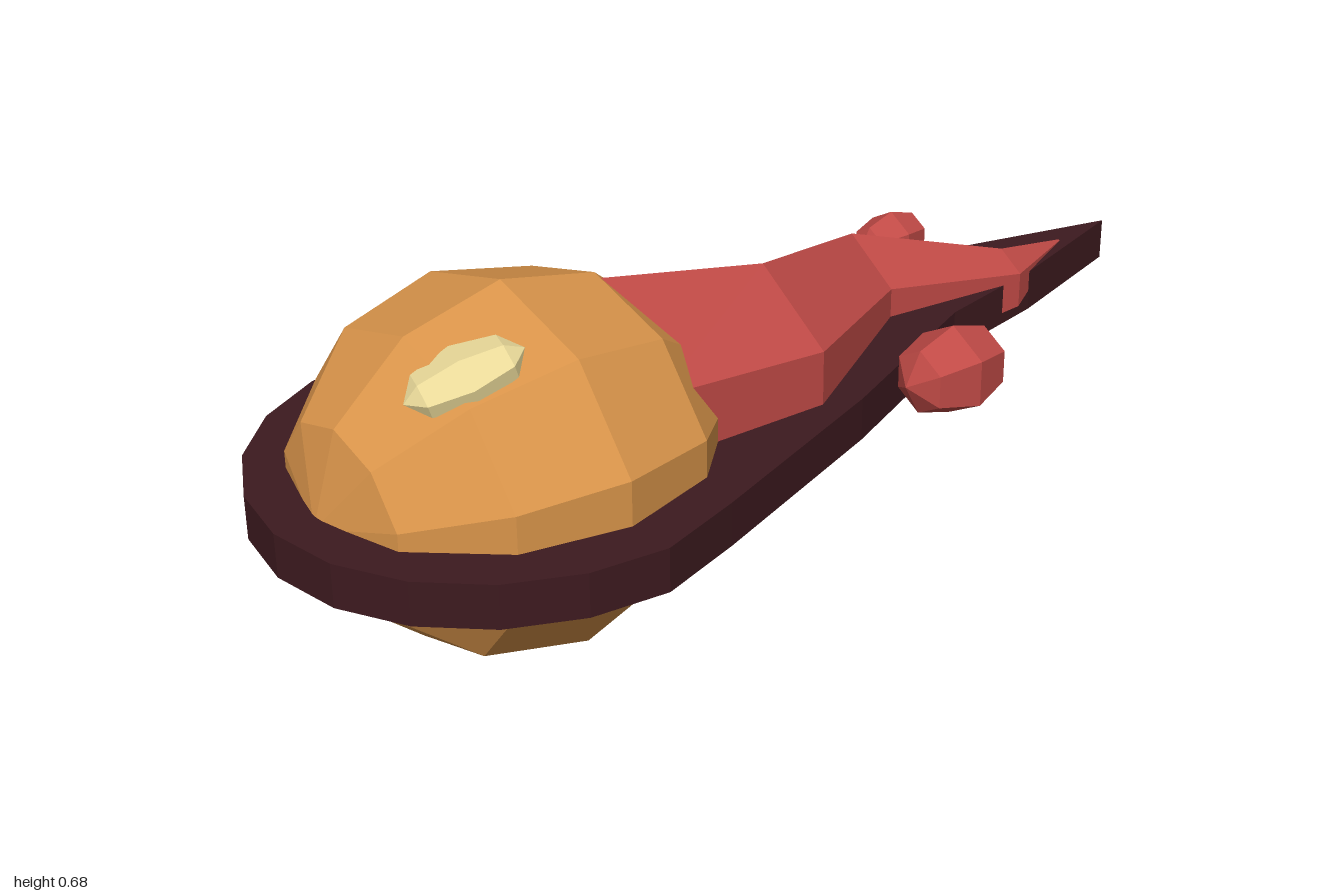
import * as THREE from 'three';

const mat = (color) => new THREE.MeshStandardMaterial({ color, flatShading: true });

// Low-poly ellipsoid with its poles along z and a vertex row on top
function ellipsoid(name, material, sides, rows, radii, position) {
  const geo = new THREE.SphereGeometry(1, sides, rows, Math.PI / 2);
  geo.rotateX(Math.PI / 2);
  geo.scale(...radii);
  const mesh = new THREE.Mesh(geo, material);
  mesh.name = name;
  mesh.position.set(...position);
  return mesh;
}

// Skin over six-sided rings running from front to back: [x, y, z, rx, ry]
function loft(rings, sides = 6) {
  const pos = [], index = [];
  for (const [x, y, z, rx, ry] of rings) {
    for (let i = 0; i < sides; i++) {
      const a = (i / sides) * Math.PI * 2;
      pos.push(x + Math.sin(a) * rx, y + Math.cos(a) * ry, z);
    }
  }
  for (let r = 0; r < rings.length - 1; r++) {
    for (let i = 0; i < sides; i++) {
      const j = (i + 1) % sides;
      const a = r * sides + i, b = r * sides + j;
      index.push(a, b, a + sides, b, b + sides, a + sides);
    }
  }
  // End caps
  const last = (rings.length - 1) * sides;
  for (let i = 1; i < sides - 1; i++) {
    index.push(0, i + 1, i, last, last + i, last + i + 1);
  }
  const geo = new THREE.BufferGeometry();
  geo.setAttribute('position', new THREE.Float32BufferAttribute(pos, 3));
  geo.setIndex(index);
  const flat = geo.toNonIndexed();
  flat.computeVertexNormals();
  return flat;
}

export function createModel() {
  const group = new THREE.Group();
  const orange = mat(0xd9944a), red = mat(0xc04a46);
  const dark = mat(0x3d1a1f), cream = mat(0xe8d898);

  // Teardrop plate: rounded front, tapering to a point at the back
  const outline = [];
  for (let i = 0; i <= 10; i++) {
    const a = Math.PI + (i / 10) * Math.PI;
    outline.push(new THREE.Vector2(Math.cos(a) * 0.452, -0.52 + Math.sin(a) * 0.475));
  }
  for (const [x, z] of [[0.405, 0.35], [0.27, -0.07], [0.12, -0.45], [0.08, -0.7], [0, -1],
    [-0.085, -0.71], [-0.18, -0.35], [-0.27, -0.01], [-0.365, 0.35]]) {
    outline.push(new THREE.Vector2(x, -z));
  }
  const plateGeo = new THREE.ExtrudeGeometry(new THREE.Shape(outline), { depth: 0.085, bevelEnabled: false });
  plateGeo.rotateX(-Math.PI / 2);
  const plate = new THREE.Mesh(plateGeo, dark);
  plate.name = 'plate';
  plate.position.y = 0.28;
  group.add(plate);

  // Faceted head
  group.add(ellipsoid('head', orange, 10, 6, [0.378, 0.342, 0.395], [0, 0.345, 0.525]));

  // Wavy tail
  const tail = new THREE.Mesh(loft([
    [0.01, 0.345, 0.36, 0.24, 0.295],
    [0.07, 0.358, 0, 0.197, 0.228],
    [-0.063, 0.346, -0.34, 0.135, 0.156],
    [0.045, 0.345, -0.65, 0.064, 0.072],
    [0.012, 0.364, -0.855, 0.003, 0.003],
  ]), red);
  tail.name = 'tail';
  group.add(tail);

  // Loose droplets beside the tail
  group.add(ellipsoid('leftDroplet', red, 6, 4, [0.09, 0.09, 0.116], [0.305, 0.377, -0.26]));
  group.add(ellipsoid('rightDroplet', red, 6, 4, [0.065, 0.065, 0.086], [-0.258, 0.336, -0.63]));

  // Pale highlight lying on the head
  const highlight = ellipsoid('highlight', cream, 6, 4, [0.075, 0.035, 0.11], [0.127, 0.607, 0.688]);
  highlight.rotation.set(0.32, -0.3, -0.1);
  group.add(highlight);

  return group;
}
